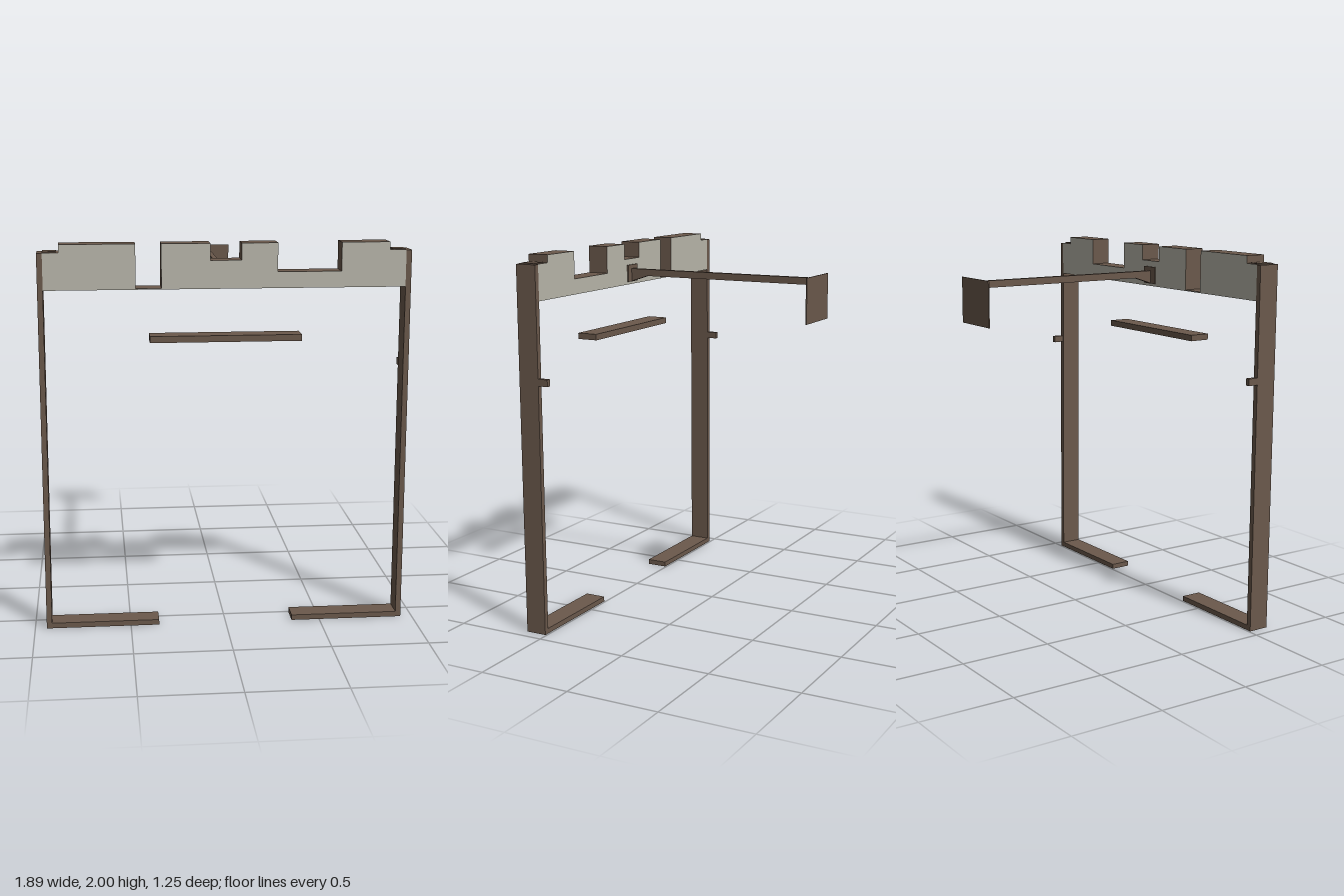
import * as THREE from 'three';

export function createModel() {
  const root = new THREE.Group();
  root.name = 'gateFrame';
  const brown = new THREE.MeshStandardMaterial({ color: 0x6b594c });
  brown.name = 'brownWood';
  const grey = new THREE.MeshStandardMaterial({ color: 0xb9b7ab });
  grey.name = 'greyPanel';

  // Box given by its minimum and maximum on each axis
  const box = (name, [x0, x1], [y0, y1], [z0, z1]) => {
    const mesh = new THREE.Mesh(new THREE.BoxGeometry(x1 - x0, y1 - y0, z1 - z0), brown);
    mesh.position.set((x0 + x1) / 2, (y0 + y1) / 2, (z0 + z1) / 2);
    mesh.name = name;
    root.add(mesh);
    return mesh;
  };
  // Outline extruded along z, with separate cap and rim materials
  const extrude = (name, points, depth, materials) => {
    const shape = new THREE.Shape(points.map(([x, y]) => new THREE.Vector2(x, y)));
    const geometry = new THREE.ExtrudeGeometry(shape, { depth, bevelEnabled: false });
    const mesh = new THREE.Mesh(geometry, materials);
    mesh.name = name;
    root.add(mesh);
    return mesh;
  };

  const zFrame = [0.508, 0.623];

  // Posts, feet, ledge caps and small rear catches, mirrored
  for (const [side, s] of [['left', 1], ['right', -1]]) {
    const span = (a, b) => (s > 0 ? [a, b] : [-b, -a]);
    box(side + 'Post', span(0.912, 0.94), [0, 1.958], zFrame);
    box(side + 'Foot', span(0.352, 0.912), [0, 0.028], zFrame);
    box(side + 'LedgeCap', span(0.845, 0.912), [1.958, 1.964], [0.525, 0.606]);
    box(side + 'Catch', span(0.918, 0.943), [1.343, 1.38], [0.45, 0.508]);
  }

  // Stepped parapet: grey faces, brown rim
  const parapet = extrude('parapet', [
    [-0.912, 1.773], [0.912, 1.773], [0.912, 1.96], [0.828, 1.96], [0.828, 2],
    [0.583, 2], [0.583, 1.855], [0.26, 1.855], [0.26, 2], [0.077, 2],
    [0.077, 1.915], [-0.08, 1.915], [-0.08, 2], [-0.325, 2], [-0.325, 1.779],
    [-0.453, 1.779], [-0.453, 2], [-0.832, 2], [-0.832, 1.96], [-0.912, 1.96],
  ], zFrame[1] - zFrame[0], [grey, brown]);
  parapet.position.z = zFrame[0];

  // Separate lintel bar under the parapet
  box('lintelBar', [-0.385, 0.385], [1.503, 1.536], zFrame);

  // Rear arm with mounting plate, brace and hanging board
  box('arm', [-0.013, 0.013], [1.823, 1.86], [-0.618, 0.503]);
  box('mountPlate', [-0.05, 0.05], [1.788, 1.882], [0.501, 0.508]);
  const brace = extrude('armBrace', [[-0.501, 1.79], [-0.4, 1.823], [-0.501, 1.823]], 0.026, brown);
  brace.rotation.y = Math.PI / 2;
  brace.position.x = -0.013;
  box('boardBracket', [-0.013, 0.013], [1.79, 1.823], [-0.618, -0.577]);
  box('board', [-0.142, 0.138], [1.63, 1.873], [-0.623, -0.617]);

  return root;
}
